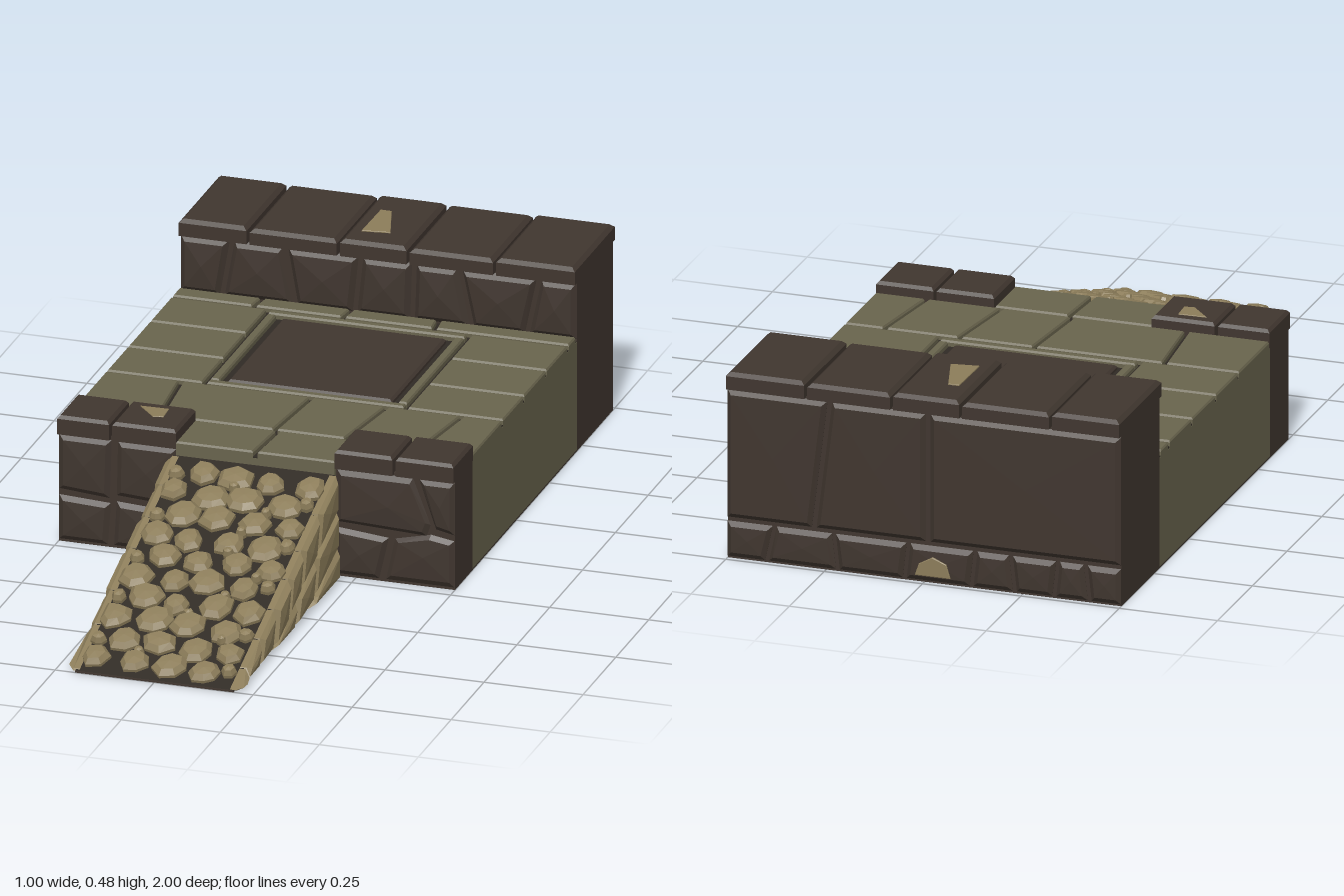
import * as THREE from 'three';

const mat = (name, color) => new THREE.MeshStandardMaterial({ name, color, flatShading: true });
const dark = mat('dark stone', 0x40362f);
const floorStone = mat('floor stone', 0x69644d);
const tan = mat('tan cobble', 0x8c7d5a);
const mortar = mat('mortar', 0x302b25);

let seed = 7;
const rand = () => { seed = (seed * 16807) % 2147483647; return seed / 2147483647; };
const jit = (a) => (rand() * 2 - 1) * a;

// Tapered stone: polygon in XY rising along +z, straight up to h1, then chamfered to h, with a raised centre
function stoneGeo(pts, h1, h, inset, dome = 0) {
  if (THREE.ShapeUtils.area(pts.map(p => new THREE.Vector2(...p))) < 0) pts = [...pts].reverse();
  const n = pts.length;
  const xs = pts.map(p => p[0]), ys = pts.map(p => p[1]);
  const cx = xs.reduce((a, b) => a + b) / n, cy = ys.reduce((a, b) => a + b) / n;
  const kx = Math.max(0.3, 1 - 2 * inset / (Math.max(...xs) - Math.min(...xs)));
  const ky = Math.max(0.3, 1 - 2 * inset / (Math.max(...ys) - Math.min(...ys)));
  const rings = [
    pts.map(p => [p[0], p[1], 0]),
    pts.map(p => [p[0], p[1], h1]),
    pts.map(p => [cx + (p[0] - cx) * kx, cy + (p[1] - cy) * ky, h]),
  ];
  const v = [];
  for (let i = 0; i < n; i++) {
    const j = (i + 1) % n;
    for (let r = 0; r < 2; r++) {
      const [a, b, c, d] = [rings[r][i], rings[r][j], rings[r + 1][j], rings[r + 1][i]];
      v.push(...a, ...b, ...c, ...a, ...c, ...d);
    }
    v.push(...rings[2][i], ...rings[2][j], cx, cy, h + dome);
  }
  const g = new THREE.BufferGeometry();
  g.setAttribute('position', new THREE.Float32BufferAttribute(v, 3));
  g.computeVertexNormals();
  return g;
}

function add(parent, name, geo, material, x = 0, y = 0, z = 0) {
  const m = new THREE.Mesh(geo, material);
  m.name = name;
  m.position.set(x, y, z);
  parent.add(m);
  return m;
}

function box(parent, name, material, x0, x1, y0, y1, z0, z1) {
  return add(parent, name, new THREE.BoxGeometry(x1 - x0, y1 - y0, z1 - z0), material,
    (x0 + x1) / 2, (y0 + y1) / 2, (z0 + z1) / 2);
}

// Group whose local XY plane lies on a face of the model
function face(parent, name, rx, ry, x, y, z) {
  const g = new THREE.Group();
  g.name = name;
  g.rotation.set(rx, ry, 0);
  g.position.set(x, y, z);
  parent.add(g);
  return g;
}

// Row of blocks between lower and upper joint positions
function course(parent, name, material, lo, hi, y0, y1, gap, h1, h, inset, dome = 0) {
  for (let i = 0; i < lo.length - 1; i++) {
    const l = i ? gap : 0, r = i < lo.length - 2 ? gap : 0;
    const pts = [[lo[i] + l, y0], [lo[i + 1] - r, y0], [hi[i + 1] - r, y1], [hi[i] + l, y1]];
    add(parent, name, stoneGeo(pts, h1, h, inset, dome), material);
  }
}

const rect = (x0, x1, y0, y1) => [[x0, y0], [x1, y0], [x1, y1], [x0, y1]];

function buildBackWall(root) {
  const wall = face(root, 'backWall', 0, 0, 0, 0, 0);
  box(wall, 'wallCore', dark, -0.5, 0.5, 0.004, 0.436, -0.985, -0.712);
  // Coping stones
  const caps = face(wall, 'wallCaps', -Math.PI / 2, 0, 0, 0.435, 0);
  const cj = [-0.5, -0.325, -0.097, 0.079, 0.297, 0.5];
  for (let i = 0; i < 5; i++) {
    const top = 0.043 - (i % 2) * 0.003;
    add(caps, 'wallCap', stoneGeo(rect(cj[i] + (i ? 0.004 : 0), cj[i + 1] - (i < 4 ? 0.004 : 0), 0.695, 1),
      top - 0.009, top, 0.01), dark);
  }
  add(caps, 'capChip', stoneGeo([[-0.058, 0.9], [-0.03, 0.9], [0.01, 0.77], [-0.06, 0.76]], 0.003, 0.004, 0.001), tan, 0, 0, 0.042);
  // Front blocks
  const front = face(wall, 'wallFrontBlocks', 0, 0, 0, 0, -0.715);
  course(front, 'wallFrontBlock', dark, [-0.5, -0.395, -0.21, -0.06, 0.085, 0.235, 0.375, 0.5],
    [-0.5, -0.37, -0.235, -0.045, 0.09, 0.205, 0.405, 0.5], 0.29, 0.434, 0.006, 0.003, 0.015, 0.014, 0.006);
  // Back blocks: tall course above a low course
  const back = face(wall, 'wallBackBlocks', 0, Math.PI, 0, 0, -0.983);
  course(back, 'wallBackBlock', dark, [-0.5, -0.28, 0.01, 0.5], [-0.5, -0.24, 0.01, 0.5],
    0.105, 0.432, 0.006, 0.003, 0.013, 0.012, 0.001);
  course(back, 'wallBaseBlock', dark, [-0.5, -0.4, -0.22, -0.05, 0.12, 0.23, 0.33, 0.42, 0.5],
    [-0.5, -0.38, -0.23, -0.04, 0.13, 0.22, 0.34, 0.41, 0.5], 0.005, 0.095, 0.005, 0.003, 0.012, 0.012, 0.002);
  add(back, 'baseChip', stoneGeo([[-0.02, 0.02], [0.07, 0.02], [0.06, 0.055], [0.025, 0.07], [-0.01, 0.05]],
    0.004, 0.005, 0.002), tan, 0, 0, 0.012);
}

function buildFloor(root) {
  const floor = face(root, 'floor', 0, 0, 0, 0, 0);
  box(floor, 'floorBody', floorStone, -0.5, 0.5, 0.004, 0.282, -0.713, 0.085);
  box(floor, 'threshold', floorStone, -0.2, 0.2, 0.004, 0.282, 0.085, 0.23);
  box(floor, 'floorJoints', mortar, -0.499, 0.499, 0.281, 0.285, -0.712, 0.085);
  box(floor, 'thresholdJoints', mortar, -0.199, 0.199, 0.281, 0.285, 0.085, 0.229);
  const t = face(floor, 'floorTiles', -Math.PI / 2, 0, 0, 0.282, 0);
  const row = (lo, hi, z0, z1) => course(t, 'floorTile', floorStone, lo, hi, -z1, -z0, 0.006, 0.013, 0.018, 0.003);
  row([-0.5, -0.295, -0.07, 0.16, 0.5], [-0.5, -0.29, -0.065, 0.155, 0.5], -0.7, -0.65);
  row([-0.5, -0.29, 0, 0.18, 0.37, 0.5], [-0.5, -0.31, 0.02, 0.21, 0.4, 0.5], -0.138, 0.079);
  row([-0.2, 0, 0.2], [-0.2, 0.01, 0.2], 0.089, 0.23);
  const zs = [-0.64, -0.477, -0.307, -0.145];
  for (let i = 0; i < 3; i++) for (const s of [-1, 1])
    row([s * 0.5, s * 0.26].sort((a, b) => a - b), [s * 0.5, s * 0.26].sort((a, b) => a - b),
      zs[i] + 0.005, zs[i + 1] - 0.005);
  // Framed square panel
  for (const [x0, x1, z0, z1] of [[-0.248, 0.248, -0.635, -0.616], [-0.248, 0.248, -0.172, -0.152],
    [-0.248, -0.226, -0.61, -0.178], [0.226, 0.248, -0.61, -0.178]])
    add(t, 'panelFrame', stoneGeo(rect(x0, x1, -z1, -z0), 0.013, 0.018, 0.003), floorStone);
  add(t, 'centrePanel', stoneGeo(rect(-0.207, 0.207, 0.185, 0.6), 0.01, 0.016, 0.006), dark);
}

function buildPosts(root) {
  const posts = face(root, 'frontPosts', 0, 0, 0, 0, 0);
  for (const s of [-1, 1]) {
    box(posts, 'postCore', dark, s > 0 ? 0.2 : -0.5, s > 0 ? 0.5 : -0.2, 0.004, 0.285, 0.084, 0.217);
    const caps = face(posts, 'postCaps', -Math.PI / 2, 0, 0, 0.28, 0);
    const j = s > 0 ? [0.2, 0.35, 0.5] : [-0.5, -0.365, -0.2];
    course(caps, 'postCap', dark, j, j, -0.23, -0.08, 0.004, 0.04, 0.048, 0.007);
    if (s < 0) add(caps, 'capChip', stoneGeo([[-0.33, -0.11], [-0.258, -0.108], [-0.255, -0.16], [-0.28, -0.165]],
      0.002, 0.003, 0.001), tan, 0, 0, 0.047);
  }
  // Irregular facing blocks
  const f = face(posts, 'postBlocks', 0, 0, 0, 0, 0.213);
  const blocks = [
    [[-0.5, 0.135], [-0.37, 0.125], [-0.365, 0.278], [-0.5, 0.278]],
    [[-0.355, 0.135], [-0.2, 0.125], [-0.2, 0.278], [-0.352, 0.278]],
    [[-0.5, 0.005], [-0.375, 0.005], [-0.367, 0.115], [-0.5, 0.122]],
    [[-0.362, 0.005], [-0.2, 0.005], [-0.2, 0.113], [-0.355, 0.122]],
    [[0.2, 0.14], [0.43, 0.13], [0.44, 0.16], [0.395, 0.278], [0.2, 0.278]],
    [[0.452, 0.15], [0.5, 0.14], [0.5, 0.278], [0.408, 0.278]],
    [[0.2, 0.005], [0.31, 0.005], [0.335, 0.115], [0.2, 0.128]],
    [[0.325, 0.005], [0.5, 0.005], [0.5, 0.127], [0.44, 0.137], [0.348, 0.115]],
  ];
  for (const b of blocks) add(f, 'postBlock', stoneGeo(b, 0.003, 0.013, 0.014, 0.004), dark);
}

function buildRamp(root) {
  const ramp = face(root, 'ramp', 0, 0, 0, 0, 0);
  const rise = 0.264, run = 0.77, angle = Math.atan2(rise, run);
  const wedge = new THREE.Shape([[-1, 0.003], [-0.23, 0.003], [-0.23, rise]].map(p => new THREE.Vector2(...p)));
  add(ramp, 'rampBody', new THREE.ExtrudeGeometry(wedge, { depth: 0.4, bevelEnabled: false }), mortar, -0.2)
    .rotation.y = Math.PI / 2;
  // Cobbles on the slope, staggered with small fillers
  const slope = face(ramp, 'cobbles', angle - Math.PI / 2, 0, 0, 0, 1);
  const pebble = (x, y, r) => {
    const n = 6 + Math.floor(rand() * 3), a0 = rand() * 6;
    const pts = Array.from({ length: n }, (_, i) => {
      const a = a0 + i / n * Math.PI * 2, k = r * (0.88 + rand() * 0.22);
      return [THREE.MathUtils.clamp(x + Math.cos(a) * k, -0.195, 0.195), y + Math.sin(a) * k];
    });
    add(slope, 'cobble', stoneGeo(pts, 0.01, 0.023, r * 0.28, 0.003), tan);
  };
  const rows = 10, step = 0.078;
  for (let r = 0; r < rows; r++) {
    const y = 0.05 + r * step, off = r % 2 ? 0.022 : -0.022;
    for (let c = 0; c < 4; c++) pebble(-0.138 + c * 0.092 + off + jit(0.007), y + jit(0.009), 0.041 + jit(0.006));
    pebble(r % 2 ? -0.175 : 0.172, y + jit(0.015), 0.02);
    if (r < rows - 1) pebble(jit(0.15), y + step / 2, 0.014);
  }
  // Side stones in courses running along the slope
  for (const s of [-1, 1]) {
    const side = face(ramp, 'rampSideStones', 0, s * Math.PI / 2, s * 0.19, 0, 0);
    for (let c = 0; c < 3; c++) {
      const joints = [0.235];
      while (joints.at(-1) < 0.99) joints.push(Math.min(1, joints.at(-1) + 0.13 + jit(0.03) + (joints.length === 1 ? c * 0.03 : 0)));
      const yAt = (z, d) => Math.max(0.003, (1 - z) * rise / run + 0.004 - d);
      for (let i = 0; i < joints.length - 1; i++) {
        const a = joints[i] + 0.003, b = joints[i + 1] - 0.003, lean = i ? 0.025 : 0;
        const a2 = a + lean, b2 = Math.min(0.995, b + 0.025);
        if (yAt(a, c * 0.09) < 0.02) continue;
        const pts = [[a, yAt(a, c * 0.09)], [b, yAt(b, c * 0.09)],
          [b2, yAt(b2, c * 0.09 + 0.084)], [a2, yAt(a2, c * 0.09 + 0.084)]].map(([z, y]) => [-s * z, y]);
        add(side, 'sideStone', stoneGeo(pts, 0.016, 0.03 + jit(0.004), 0.015, 0.003), tan);
      }
    }
  }
}

export function createModel() {
  seed = 7;
  const root = new THREE.Group();
  root.name = 'stonePlatform';
  // Dark underside
  box(root, 'baseSlab', dark, -0.5, 0.5, 0, 0.004, -0.985, 0.217);
  box(root, 'rampBase', dark, -0.2, 0.2, 0, 0.004, 0.217, 1);
  buildBackWall(root);
  buildFloor(root);
  buildPosts(root);
  buildRamp(root);
  return root;
}
